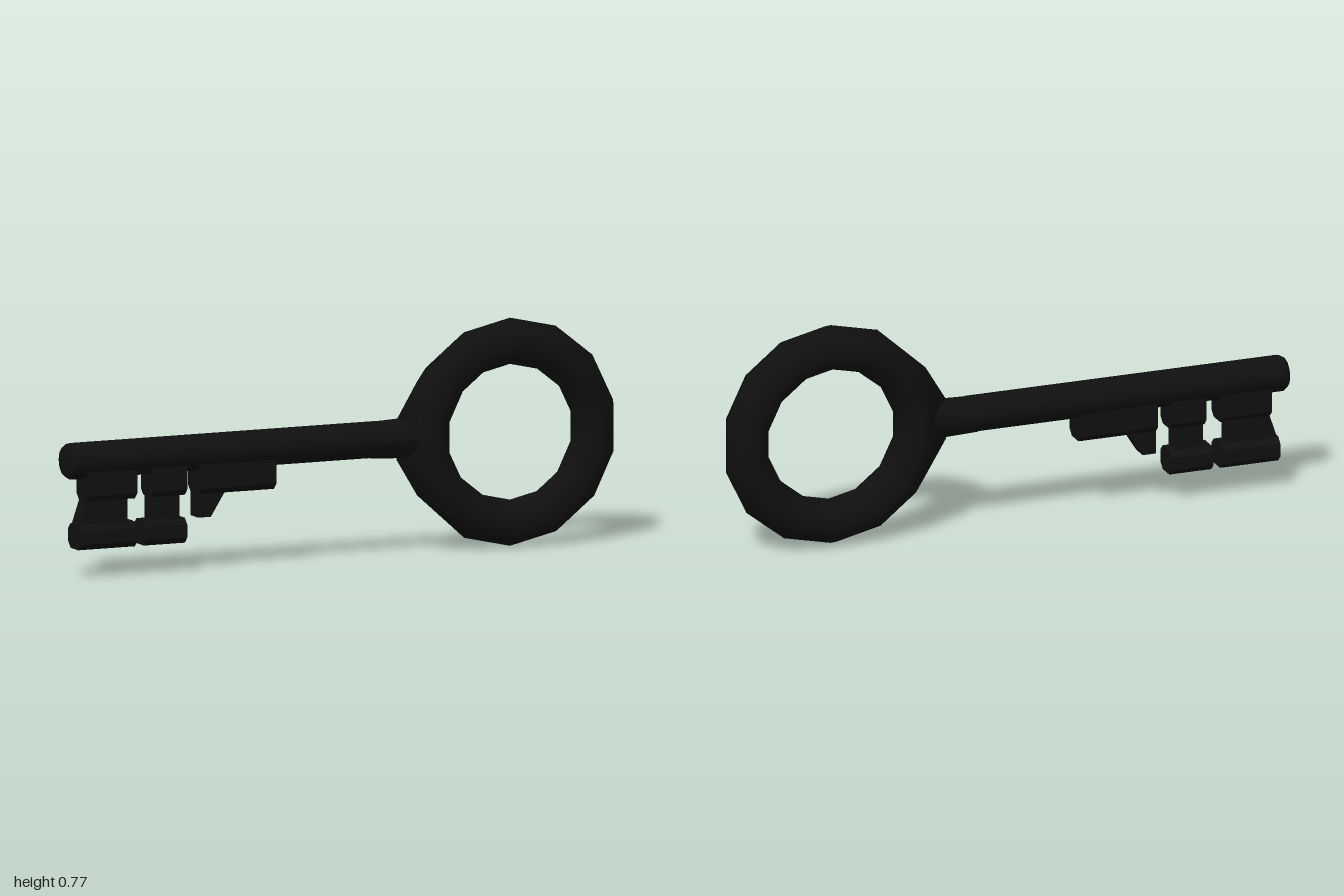
import * as THREE from 'three';

const SHAFT_Y = 0.393;
const RING = { x: 0.625, y: 0.386, r: 0.307, tube: 0.078 };

export function createModel() {
  const group = new THREE.Group();
  const iron = new THREE.MeshStandardMaterial({ color: 0x101010 });
  iron.name = 'blackIron';

  const add = (name, geometry, x = 0, y = 0, z = 0) => {
    const mesh = new THREE.Mesh(geometry, iron);
    mesh.name = name;
    mesh.position.set(x, y, z);
    group.add(mesh);
    return mesh;
  };

  // Ring handle: the outer rim is drawn out toward the shaft
  const ring = new THREE.TorusGeometry(RING.r, RING.tube, 8, 14);
  ring.rotateZ(Math.PI / 2);
  const p = ring.attributes.position;
  for (let i = 0; i < p.count; i++) {
    const x = p.getX(i), y = p.getY(i);
    if (x < -0.3 && Math.hypot(x, y) > RING.r + 0.07) p.setXY(i, x - 0.038, y * 0.8);
  }
  ring.computeVertexNormals();
  // Keep the torus' smooth normals away from the drawn-out rim and its seams
  const smooth = new THREE.TorusGeometry(RING.r, RING.tube, 8, 14).rotateZ(Math.PI / 2);
  ring.setAttribute('normal', smooth.attributes.normal);
  add('ringHandle', ring, RING.x, RING.y);

  // Shaft: lathed bar with a chamfered tip, laid along x
  const bar = [[0, -1], [0.05, -1], [0.062, -0.982], [0.062, 0.13], [0, 0.13]]
    .map(([r, t]) => new THREE.Vector2(r, t));
  const flat = new THREE.LatheGeometry(bar, 12).rotateZ(-Math.PI / 2);
  add('shaft', flat, 0, SHAFT_Y);

  // Neck: oval sleeve growing taller and flatter toward the ring
  const neck = new THREE.CylinderGeometry(1, 1, 0.17, 12, 2, true).rotateZ(-Math.PI / 2);
  const n = neck.attributes.position;
  for (let i = 0; i < n.count; i++) {
    const t = (n.getX(i) + 0.085) / 0.17;
    n.setY(i, n.getY(i) * (0.062 + 0.008 * t));
    n.setZ(i, n.getZ(i) * (0.062 - 0.006 * t));
  }
  neck.computeVertexNormals();
  add('neck', neck, 0.195, SHAFT_Y - 0.002);

  const extrude = (points, depth) => new THREE.ExtrudeGeometry(
    new THREE.Shape(points.map(([x, y]) => new THREE.Vector2(x, y))),
    { depth, bevelEnabled: false });

  // Bar along x with chamfered lower edges, and optionally upper ones
  const rail = (name, x0, x1, y0, y1, half, chamferTop) => {
    const c = 0.02, top = chamferTop ? c : 0;
    const profile = [[-half, y0 + c], [-half + c, y0], [half - c, y0], [half, y0 + c], [half, y1 - top]];
    if (top) profile.push([half - c, y1], [-half + c, y1]);
    profile.push([-half, y1 - top]);
    const geometry = extrude(profile, x1 - x0);
    geometry.rotateY(Math.PI / 2);
    add(name, geometry, x0);
  };

  // Plate in the xy plane, centred on z = 0
  const plate = (name, points, half) => add(name, extrude(points, half * 2), 0, 0, -half);

  // Outer bit
  rail('outerBitTop', -0.935, -0.757, 0.258, 0.36, 0.05, false);
  plate('outerBitWeb', [[-0.965, 0.165], [-0.785, 0.165], [-0.785, 0.27], [-0.93, 0.27]], 0.03);
  rail('outerBitFoot', -0.965, -0.757, 0.096, 0.18, 0.05, true);

  // Middle bit
  rail('middleBitTop', -0.7, -0.575, 0.258, 0.36, 0.05, false);
  plate('middleBitWeb', [[-0.695, 0.165], [-0.595, 0.165], [-0.595, 0.27], [-0.695, 0.27]], 0.03);
  rail('middleBitFoot', -0.725, -0.575, 0.096, 0.18, 0.05, true);

  // Inner bit with its slanted tooth
  rail('innerBitTop', -0.527, -0.25, 0.256, 0.36, 0.05, false);
  plate('innerBitTooth', [[-0.527, 0.177], [-0.48, 0.177], [-0.425, 0.265], [-0.527, 0.265]], 0.03);

  return group;
}
